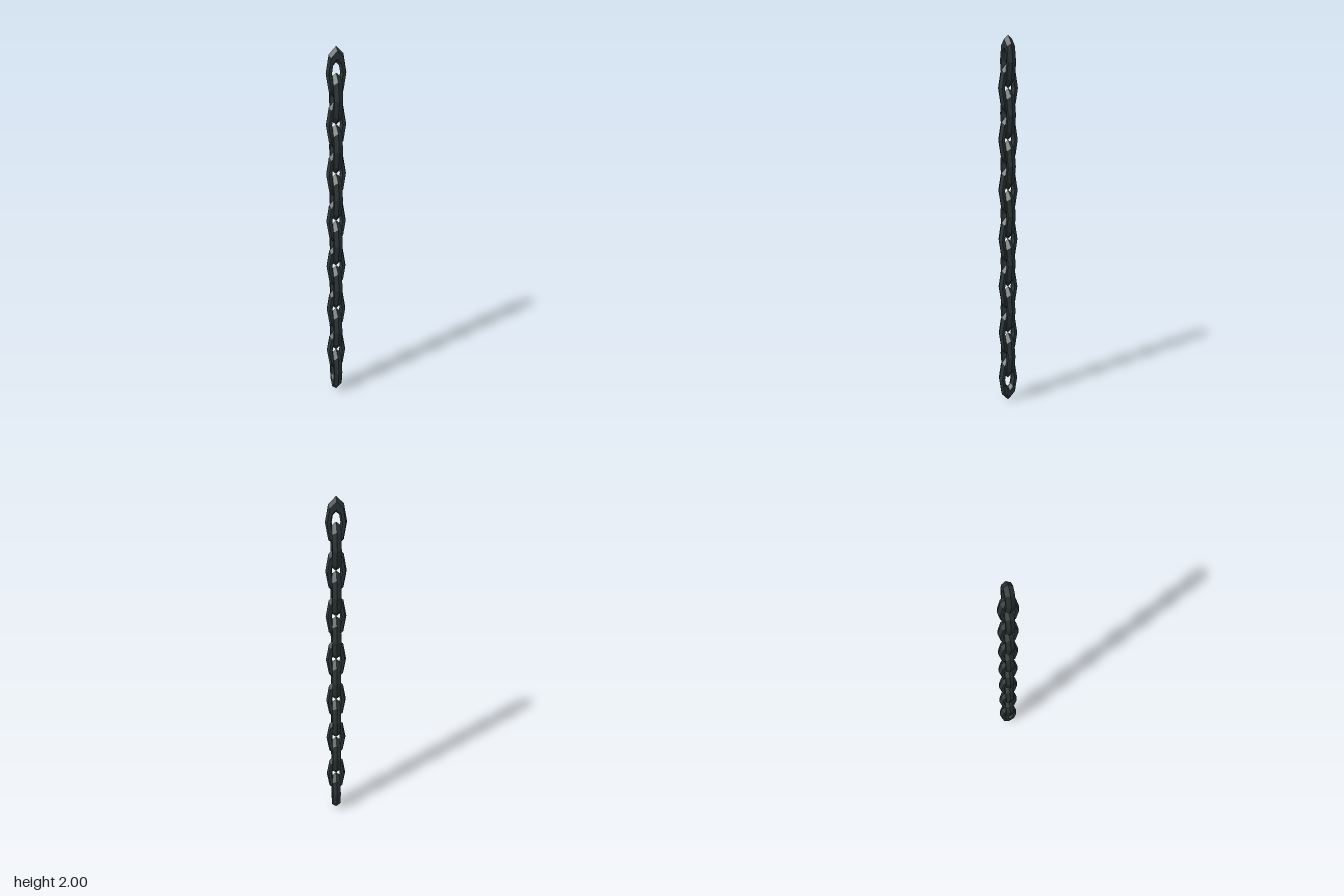
import * as THREE from 'three';

const LINKS = 14;
const HALF_WIDTH = 0.053;
const HALF_HEIGHT = 0.134;

export function createModel() {
  const chain = new THREE.Group();
  chain.name = 'chain';

  const darkIron = new THREE.MeshStandardMaterial({ color: 0x2b3436 });
  darkIron.name = 'darkIron';

  // Link: hexagonal bar bent into an eight-sided ring, stretched tall, with flat facets
  const tube = 0.016;
  const ring = new THREE.TorusGeometry(HALF_WIDTH - tube, tube, 6, 8);
  ring.scale(1, HALF_HEIGHT / HALF_WIDTH, 1.63);
  const linkGeometry = ring.toNonIndexed();
  linkGeometry.computeVertexNormals();

  // Links alternate by a quarter turn, from the top down
  const spacing = (2 - 2 * HALF_HEIGHT) / (LINKS - 1);
  for (let i = 0; i < LINKS; i++) {
    const link = new THREE.Mesh(linkGeometry, darkIron);
    link.name = `link${i + 1}`;
    link.position.y = 2 - HALF_HEIGHT - i * spacing;
    link.rotation.y = i % 2 ? Math.PI / 2 : 0;
    chain.add(link);
  }
  return chain;
}
